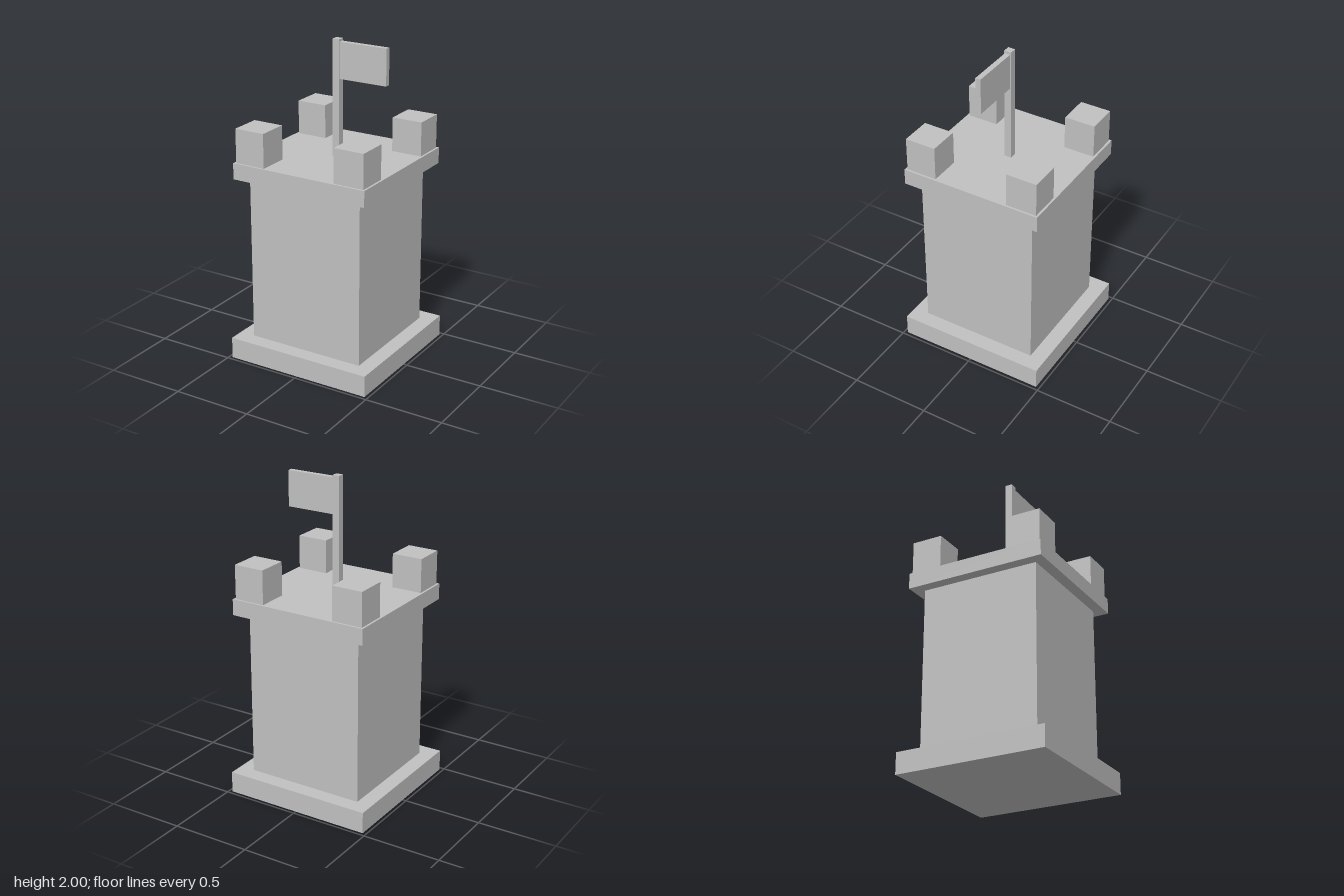
import * as THREE from 'three';

export function createModel() {
  const group = new THREE.Group();
  group.name = 'tower';
  const stone = new THREE.MeshStandardMaterial({ color: 0xc0c0c0 });
  stone.name = 'grey stone';

  // Box spanning bottom..top in y, centred on (x, z)
  const addBox = (name, width, depth, bottom, top, x = 0, z = 0) => {
    const mesh = new THREE.Mesh(new THREE.BoxGeometry(width, top - bottom, depth), stone);
    mesh.name = name;
    mesh.position.set(x, (bottom + top) / 2, z);
    group.add(mesh);
  };

  // Plinth, shaft and overhanging platform
  addBox('base', 0.956, 0.956, 0, 0.135);
  addBox('shaft', 0.76, 0.76, 0.135, 1.18);
  addBox('platform', 0.9, 0.9, 1.18, 1.281);

  // One battlement block in each corner
  for (const x of [-1, 1]) {
    for (const z of [-1, 1]) {
      const name = (z > 0 ? 'front' : 'back') + (x > 0 ? 'Left' : 'Right') + 'Battlement';
      addBox(name, 0.197, 0.197, 1.281, 1.494, x * 0.338, z * 0.338);
    }
  }

  // Square flagpole with a flag flying to the left
  addBox('flagpole', 0.045, 0.045, 1.281, 2);
  addBox('flag', 0.314, 0.034, 1.762, 1.985, 0.179);

  return group;
}
